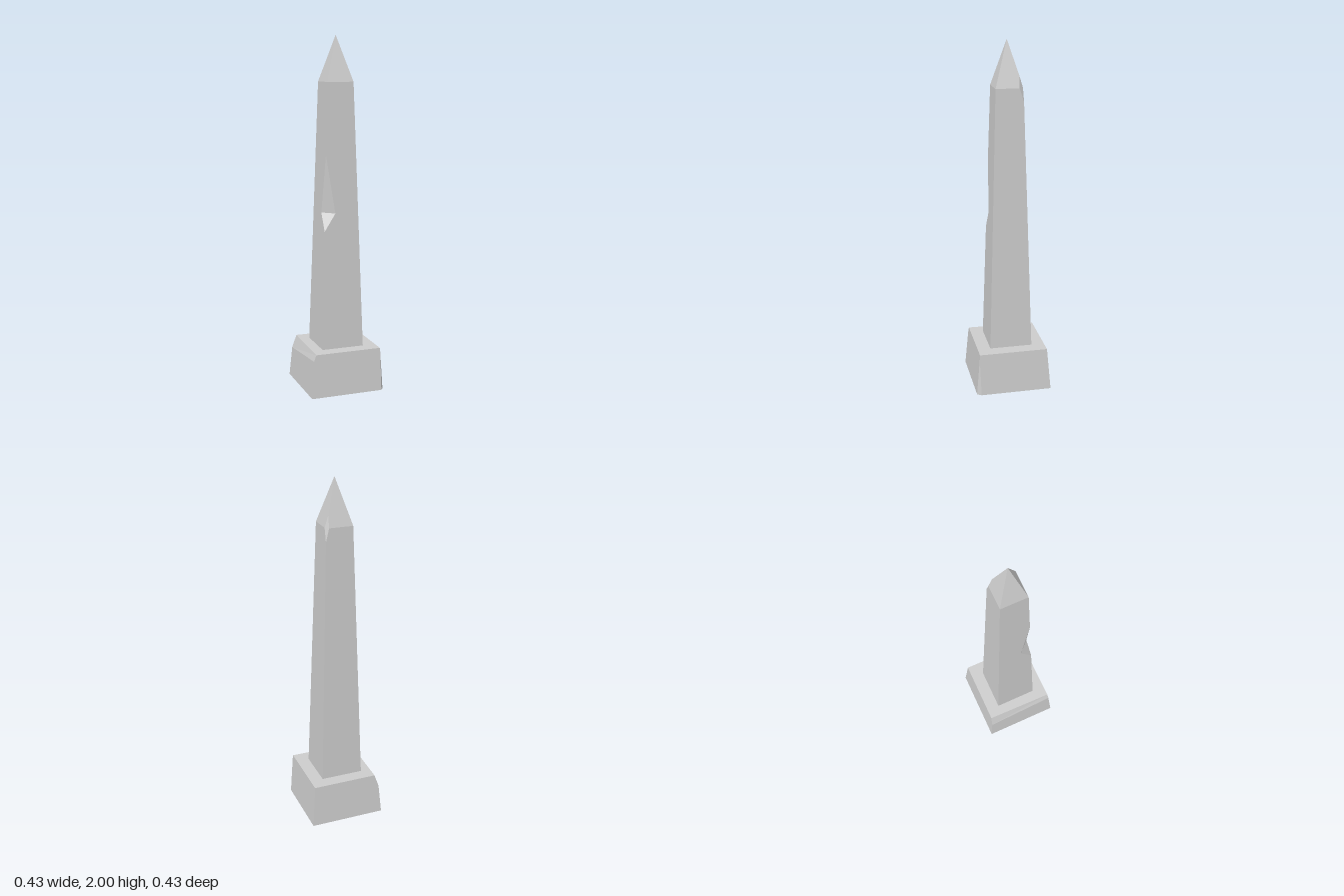
import * as THREE from 'three';

// Build a faceted solid from named corner points and polygons (fanned from their first corner)
function facetedMesh(name, points, faces) {
  const positions = [];
  for (const face of faces) {
    const p = face.split(' ').map((key) => points[key]);
    for (let i = 1; i < p.length - 1; i++) positions.push(...p[0], ...p[i], ...p[i + 1]);
  }
  const geometry = new THREE.BufferGeometry();
  geometry.setAttribute('position', new THREE.Float32BufferAttribute(positions, 3));
  geometry.computeVertexNormals();
  const material = new THREE.MeshStandardMaterial({ color: 0xcccccc, flatShading: true });
  const mesh = new THREE.Mesh(geometry, material);
  mesh.name = name;
  return mesh;
}

const BASE_TOP = 0.245;
const SHAFT_TOP = 1.745;
const lerp = THREE.MathUtils.lerp;

// Half widths of the tapering parts at height y
const baseHalf = (y) => lerp(0.217, 0.197, y / BASE_TOP);
const shaftHalf = (y) => lerp(0.122, 0.077, (y - BASE_TOP) / (SHAFT_TOP - BASE_TOP));
const tipHalf = (y) => (0.077 * (2 - y)) / (2 - SHAFT_TOP);

// Point on a corner edge: sx, sz pick the corner
const corner = (half, y, sx, sz) => [sx * half(y), y, sz * half(y)];

// Plinth with a worn left-hand top edge and a split front corner
function createBase() {
  const points = {
    fl: corner(baseHalf, 0, -1, 1),
    br: corner(baseHalf, 0, 1, -1),
    bl: corner(baseHalf, 0, -1, -1),
    topFr: corner(baseHalf, BASE_TOP, 1, 1),
    topBr: corner(baseHalf, BASE_TOP, 1, -1),
    // split corner
    splitFront: [0.2, 0, 0.217],
    splitSide: [0.217, 0, 0.193],
    splitTop: corner(baseHalf, 0.22, 1, 1),
    // worn edge
    wornFront: corner(baseHalf, 0.21, -1, 1),
    wornBack: corner(baseHalf, 0.17, -1, -1),
    topFl: [-0.185, BASE_TOP, 0.197],
    topBl: [-0.178, BASE_TOP, -0.197],
  };
  return facetedMesh('base', points, [
    'fl splitFront splitTop topFr topFl wornFront',
    'splitSide br topBr topFr splitTop',
    'splitFront splitSide splitTop',
    'br bl wornBack topBl topBr',
    'bl fl wornFront wornBack',
    'wornBack wornFront topFl topBl',
    'topFl topFr topBr topBl',
    'bl br splitSide splitFront fl',
  ]);
}

// Tapered shaft and pointed cap, with a notch in one edge and a chipped shoulder
function createShaft() {
  const notchY = 1.02;
  const points = {
    fl: corner(shaftHalf, BASE_TOP, -1, 1),
    fr: corner(shaftHalf, BASE_TOP, 1, 1),
    br: corner(shaftHalf, BASE_TOP, 1, -1),
    bl: corner(shaftHalf, BASE_TOP, -1, -1),
    topFl: corner(shaftHalf, SHAFT_TOP, -1, 1),
    topFr: corner(shaftHalf, SHAFT_TOP, 1, 1),
    topBl: corner(shaftHalf, SHAFT_TOP, -1, -1),
    apex: [0, 2, 0],
    // notch
    notchTop: corner(shaftHalf, 1.35, -1, 1),
    notchFront: [-0.037, notchY, shaftHalf(notchY)],
    notchSide: [-shaftHalf(notchY), notchY, 0.037],
    notchLow: corner(shaftHalf, 0.92, -1, 1),
    // chipped shoulder
    chipTop: corner(tipHalf, 1.81, 1, -1),
    chipSide: [0.077, SHAFT_TOP, -0.055],
    chipBack: [0.06, SHAFT_TOP, -0.077],
    chipLow: corner(shaftHalf, 1.67, 1, -1),
  };
  return facetedMesh('shaft', points, [
    // sides
    'fr topFr topFl notchTop notchFront notchLow fl',
    'fr br chipLow chipSide topFr',
    'bl topBl chipBack chipLow br',
    'bl fl notchLow notchSide notchTop topFl topBl',
    // pointed cap
    'topFl topFr apex',
    'topFr chipSide chipTop apex',
    'chipBack topBl apex chipTop',
    'topBl topFl apex',
    // broken surfaces
    'notchTop notchSide notchFront',
    'notchLow notchFront notchSide',
    'chipTop chipSide chipBack',
    'chipLow chipBack chipSide',
    // underside
    'bl br fr fl',
  ]);
}

export function createModel() {
  const group = new THREE.Group();
  group.name = 'obelisk';
  group.add(createBase(), createShaft());
  return group;
}
